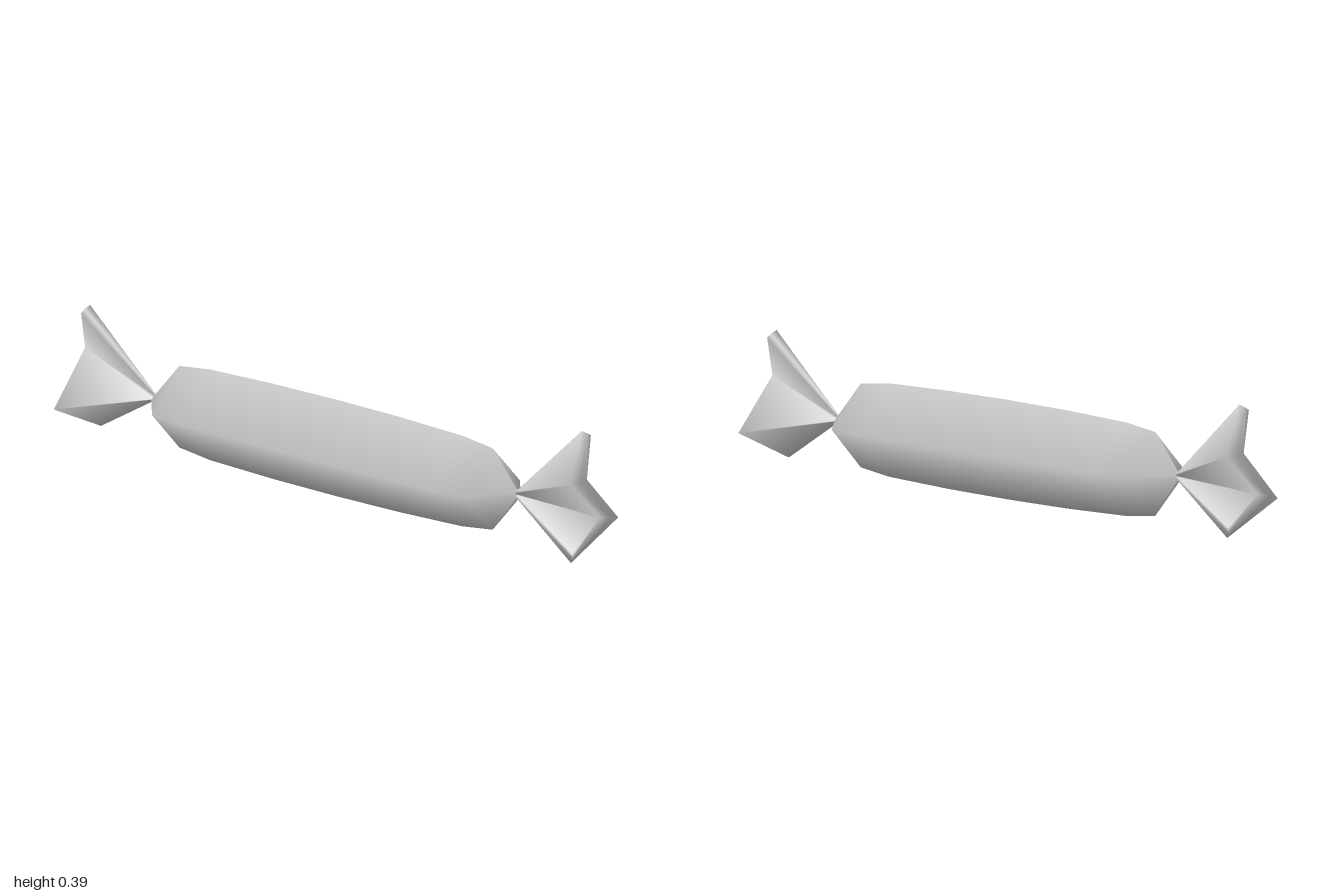
import * as THREE from 'three';

const wrapper = new THREE.MeshStandardMaterial({ color: 0xcccccc });
wrapper.name = 'wrapper grey';

// Long four-sided body, tapering to a narrow neck at both ends
function makeBody() {
  const half = [[0, 0.148], [0.25, 0.146], [0.5, 0.139], [0.622, 0.125], [0.725, 0.01]];
  const profile = [
    ...half.slice(1).reverse().map(([x, r]) => new THREE.Vector2(r, -x)),
    ...half.map(([x, r]) => new THREE.Vector2(r, x)),
  ];
  const geo = new THREE.LatheGeometry(profile, 4);
  geo.rotateZ(Math.PI / 2);
  geo.scale(1, 1, 0.95);
  const body = new THREE.Mesh(geo, wrapper);
  body.name = 'wrappedBody';
  body.position.y = 0.149;
  return body;
}

// Twisted wrapper end: a zigzag end face drawn together to the neck
function makeTwist() {
  // rows run down the zigzag: the two border points as [x, y, z]
  const rows = [
    [[0.965, 0.394, -0.012], [0.97, 0.374, -0.046]],
    [[0.99, 0.25, 0.064], [0.998, 0.254, 0.002]],
    [[1, 0.126, -0.052], [0.982, 0.101, -0.152]],
    [[0.998, 0.04, 0.066], [0.98, 0.006, 0.052]],
  ];
  const pos = [];
  const index = [];
  for (const [a, b] of rows) {
    const mid = a.map((v, k) => (v + b[k]) / 2);
    mid[0] = Math.min(1, mid[0] + 0.005);
    pos.push(...a, ...mid, ...b);
  }
  // end face
  for (let i = 0; i < 3; i++) {
    for (let j = 0; j < 2; j++) {
      const a = i * 3 + j, b = a + 3;
      index.push(a, b, b + 1, a, b + 1, a + 1);
    }
  }
  // walls from the border to a small copy of it at the neck
  const border = [0, 3, 6, 9, 10, 11, 8, 5, 2, 1];
  const neck = [0.712, 0.154, 0.01];
  for (const p of border) {
    for (let k = 0; k < 3; k++) pos.push(neck[k] + 0.04 * (pos[p * 3 + k] - neck[k]));
  }
  const n = border.length;
  for (let i = 0; i < n; i++) {
    const j = (i + 1) % n;
    const p = border[i], q = border[j], pn = 12 + i, qn = 12 + j;
    index.push(q, p, pn, q, pn, qn);
  }
  const geo = new THREE.BufferGeometry();
  geo.setAttribute('position', new THREE.Float32BufferAttribute(pos, 3));
  geo.setIndex(index);
  geo.computeVertexNormals();
  return geo;
}

export function createModel() {
  const model = new THREE.Group();
  model.name = 'wrappedSweet';
  model.add(makeBody());
  const twist = makeTwist();
  ['leftTwist', 'rightTwist'].forEach((name, i) => {
    const mesh = new THREE.Mesh(twist, wrapper);
    mesh.name = name;
    mesh.rotation.y = i * Math.PI;
    model.add(mesh);
  });
  return model;
}
